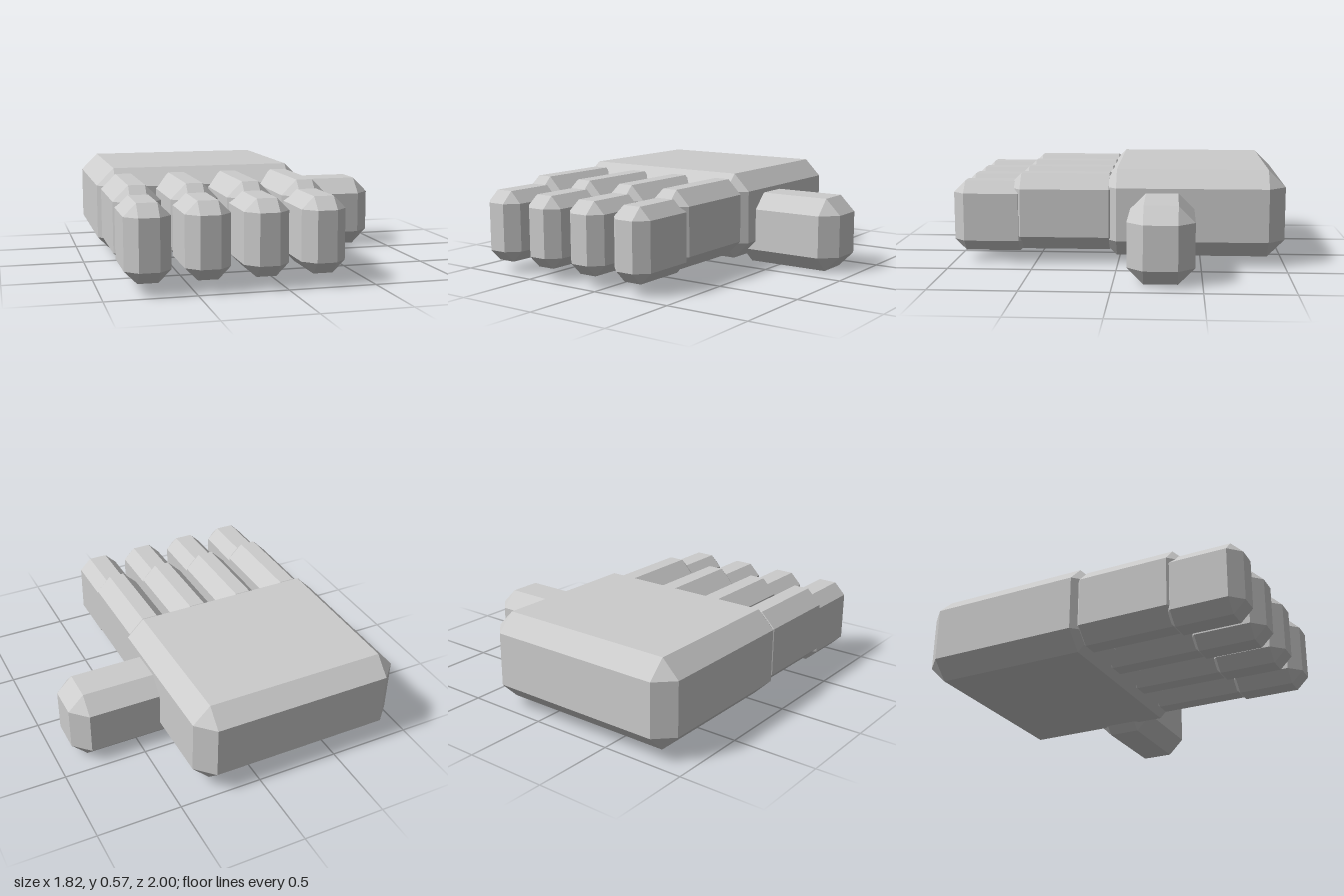
import * as THREE from 'three';
import { ConvexGeometry } from 'three/addons/geometries/ConvexGeometry.js';

// Box between two corners with every edge and corner cut off by c
function chamferedBox(min, max, c) {
  const centre = min.map((v, i) => (v + max[i]) / 2);
  const half = min.map((v, i) => (max[i] - v) / 2);
  const points = [];
  for (const sx of [-1, 1]) for (const sy of [-1, 1]) for (const sz of [-1, 1]) {
    const sign = [sx, sy, sz];
    for (let outer = 0; outer < 3; outer++) {
      points.push(new THREE.Vector3(...sign.map((s, i) => s * (half[i] - (i === outer ? 0 : c)))));
    }
  }
  return new ConvexGeometry(points).translate(...centre);
}

export function createModel() {
  const model = new THREE.Group();
  model.name = 'blockyHand';
  const grey = new THREE.MeshStandardMaterial({ color: 0xcccccc });
  grey.name = 'lightGrey';

  const add = (parent, name, min, max, chamfer) => {
    const mesh = new THREE.Mesh(chamferedBox(min, max, chamfer), grey);
    mesh.name = name;
    parent.add(mesh);
  };

  // Palm and thumb
  add(model, 'palm', [-0.91, 0.05, -1], [0.38, 0.575, 0.11], 0.103);
  add(model, 'thumb', [0.205, 0.003, -0.457], [0.907, 0.445, -0.077], 0.094);

  // Four fingers, each with a thick base segment and a thinner tip
  [-0.755, -0.431, -0.108, 0.215].forEach((x, i) => {
    const finger = new THREE.Group();
    finger.name = `finger${i + 1}`;
    finger.position.x = x;
    add(finger, 'fingerBase', [-0.135, 0.08, -0.035], [0.135, 0.545, 0.675], 0.088);
    add(finger, 'fingerTip', [-0.126, 0.069, 0.53], [0.126, 0.497, 1], 0.07);
    model.add(finger);
  });

  return model;
}
